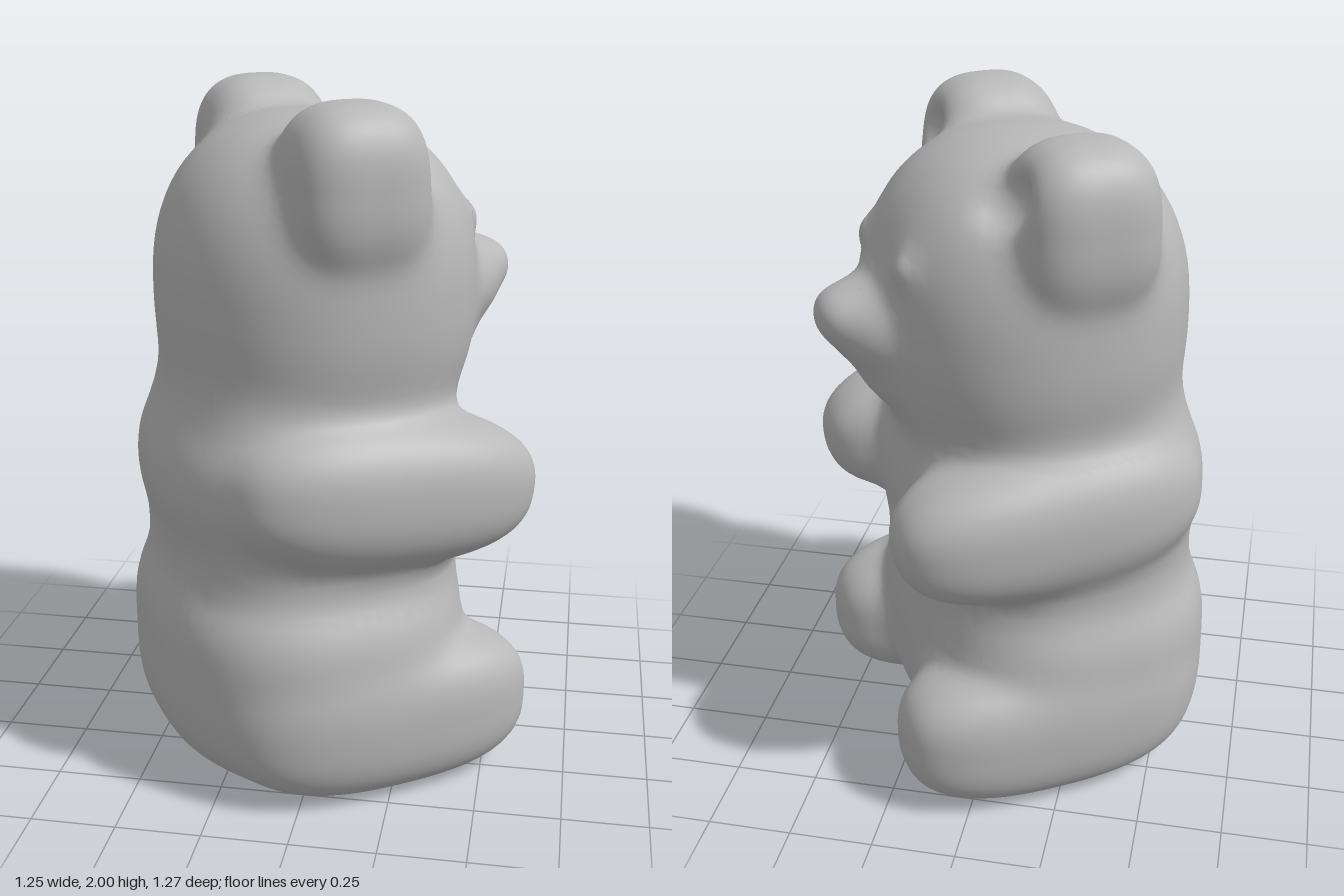
import * as THREE from 'three';

// Rounded lumps in the bear's own frame (faces +z):
// centre, radii, squareness seen from above, squareness in height, forward tilt
const lumps = [];
const lump = (name, c, r, p = 2.3, q = p, tilt = 0) =>
  lumps.push({ name, c, r, p, q, cos: Math.cos(tilt), sin: Math.sin(tilt) });
// Mirrored pair about a line at x = mid
const pair = (name, c, r, p, q, tilt, mid = 0) => {
  lump('left' + name, [mid + c[0], c[1], c[2]], r, p, q, tilt);
  lump('right' + name, [mid - c[0], c[1], c[2]], r, p, q, tilt);
};

lump('torso', [0, 0.74, -0.105], [0.48, 0.72, 0.44], 2.5, 2.7);
lump('hips', [-0.01, 0.335, -0.13], [0.545, 0.335, 0.468], 2.5, 3.5);
lump('shoulders', [-0.01, 0.92, -0.12], [0.515, 0.27, 0.45], 2.3);
lump('head', [0, 1.43, -0.06], [0.48, 0.505, 0.455], 2.25, 2.35);
lump('muzzle', [-0.02, 1.41, 0.34], [0.19, 0.135, 0.17], 2.1, 2.1, -0.2);
lump('nose', [-0.02, 1.455, 0.475], [0.095, 0.065, 0.075], 2.2);
lump('chin', [-0.01, 1.3, 0.3], [0.17, 0.12, 0.13], 2);
pair('Arm', [0.365, 0.92, 0.01], [0.2, 0.215, 0.455], 2.6, 2.5, 0.09, -0.015);
pair('Leg', [0.36, 0.22, 0.01], [0.21, 0.22, 0.45], 2.6, 2.9, 0, -0.015);
pair('Ear', [0.35, 1.775, -0.085], [0.17, 0.225, 0.195], 2.9, 2.7, 0);
pair('Eye', [0.17, 1.63, 0.338], [0.024, 0.026, 0.026], 2, 2, 0);

// Shallow hollows in the front of the ears
const hollows = [1, -1].map(s => ({ c: [s * 0.345, 1.865, 0.16], r: [0.095, 0.09, 0.1], p: 2, q: 2, cos: 1, sin: 0 }));

const norm = (x, y, z, p, q) =>
  ((Math.abs(x) ** p + Math.abs(z) ** p) ** (q / p) + Math.abs(y) ** q) ** (1 / q);

// Radial distance to one lump
function distance(l, x, y, z) {
  const dx = x - l.c[0], dy = y - l.c[1], dz = z - l.c[2];
  const ry = dy * l.cos + dz * l.sin, rz = dz * l.cos - dy * l.sin;
  const k = Math.max(norm(dx / l.r[0], ry / l.r[1], rz / l.r[2], l.p, l.q), 1e-4);
  return Math.hypot(dx, dy, dz) * (1 - 1 / k);
}

// Softly blended union of all lumps, with the ear hollows cut out
function field(x, y, z) {
  const K = 0.028;
  let sum = 0;
  for (const l of lumps) sum += Math.exp(-distance(l, x, y, z) / K);
  let d = -K * Math.log(Math.max(sum, 1e-30));
  for (const h of hollows) {
    const cut = -distance(h, x, y, z), m = Math.max(d, cut);
    d = m + 0.015 * Math.log(Math.exp((d - m) / 0.015) + Math.exp((cut - m) / 0.015));
  }
  return d;
}

function gradient(x, y, z) {
  const e = 0.002;
  return new THREE.Vector3(
    field(x + e, y, z) - field(x - e, y, z),
    field(x, y + e, z) - field(x, y - e, z),
    field(x, y, z + e) - field(x, y, z - e)).divideScalar(2 * e);
}

// One lump as a sphere, eased onto the blended skin where it reaches the outside
function lumpGeometry(l) {
  const small = l.r[0] < 0.05;
  const g = small ? new THREE.SphereGeometry(1, 16, 12) : new THREE.SphereGeometry(1, 64, 44);
  const pos = g.attributes.position, nor = g.attributes.normal;
  const v = new THREE.Vector3();
  for (let i = 0; i < pos.count; i++) {
    v.fromBufferAttribute(pos, i);
    v.divideScalar(norm(v.x, v.y, v.z, l.p, l.q));
    const x = v.x * l.r[0], y = v.y * l.r[1], z = v.z * l.r[2];
    v.set(x + l.c[0], y * l.cos - z * l.sin + l.c[1], y * l.sin + z * l.cos + l.c[2]);
    if (field(v.x, v.y, v.z) > -0.075) {
      for (let step = 0; step < 7; step++) {
        const n = gradient(v.x, v.y, v.z);
        const move = -field(v.x, v.y, v.z) / Math.max(n.lengthSq(), 0.2);
        n.multiplyScalar(move).clampLength(0, 0.03);
        v.add(n);
      }
    }
    const n = gradient(v.x, v.y, v.z).normalize();
    if (v.y < 0.004) { // flat underside
      v.y = 0;
      n.set(n.x * 0.3, -1, n.z * 0.3).normalize();
    }
    pos.setXYZ(i, v.x, v.y, v.z);
    nor.setXYZ(i, n.x, n.y, n.z);
  }
  return g;
}

export function createModel() {
  const gray = new THREE.MeshStandardMaterial({ color: 0xb8b8b8 });
  gray.name = 'plain gray';
  const bear = new THREE.Group();
  bear.name = 'bear';
  for (const l of lumps) {
    const mesh = new THREE.Mesh(lumpGeometry(l), gray);
    mesh.name = l.name;
    bear.add(mesh);
  }
  // The bear sits turned away from the front
  bear.rotation.y = THREE.MathUtils.degToRad(122);
  const model = new THREE.Group();
  model.name = 'sittingBear';
  model.add(bear);
  return model;
}
